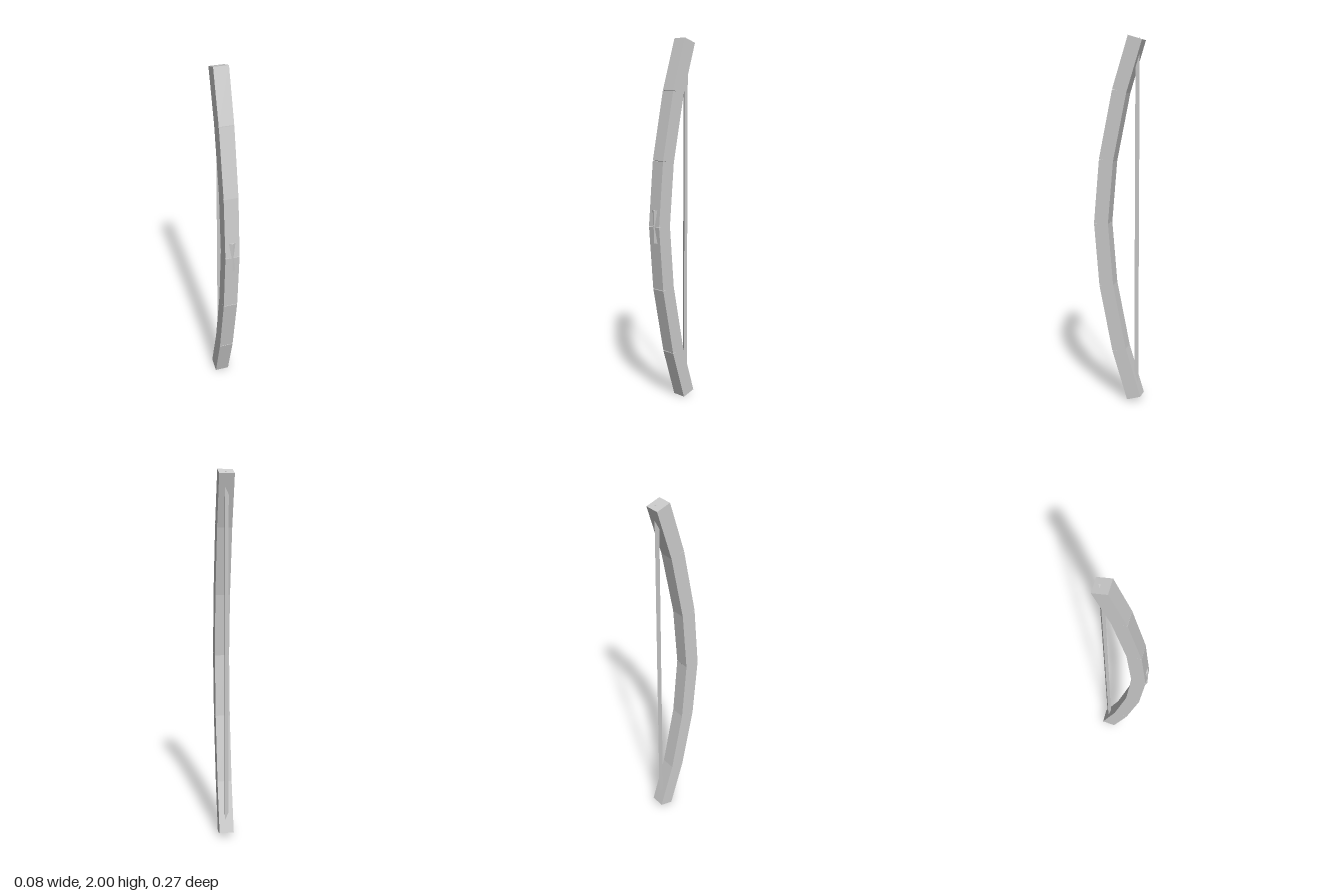
import * as THREE from 'three';

export function createModel() {
  const bow = new THREE.Group();
  bow.name = 'bow';
  const grey = new THREE.MeshStandardMaterial({ color: 0xcccccc });
  grey.name = 'light grey';
  grey.flatShading = true;

  const add = (name, geometry, x, y, z) => {
    const mesh = new THREE.Mesh(geometry, grey);
    mesh.name = name;
    mesh.position.set(x, y, z);
    bow.add(mesh);
    return mesh;
  };

  // Front edge of the upper limb as [z, y], from the grip to the tip
  const edge = [[0.131, 1], [0.101, 1.352], [0.026, 1.723], [-0.06, 2]];
  const thick = 0.08;
  const gap = 0.0016; // narrow wedge left open between segments on the front

  // Straight limb segments, mirrored above and below the grip
  for (const side of [1, -1]) {
    for (let i = 0; i < edge.length - 1; i++) {
      const [z0, y0] = edge[i];
      const [z1, y1] = edge[i + 1];
      const tilt = Math.atan2(z0 - z1, y1 - y0);
      const tipGap = i === edge.length - 2 ? 0 : gap;
      const length = Math.hypot(z1 - z0, y1 - y0) - gap - tipGap;
      const mid = gap + length / 2;
      const y = y0 + mid * Math.cos(tilt) - thick / 2 * Math.sin(tilt);
      const z = z0 - mid * Math.sin(tilt) - thick / 2 * Math.cos(tilt);
      const segment = add((side > 0 ? 'upper' : 'lower') + 'Limb' + (i + 1),
        new THREE.BoxGeometry(0.08, length, thick), 0, 1 + side * (y - 1), z);
      segment.rotation.x = -side * tilt;
    }
  }

  // Six-sided grip core, just breaking the surface front and back
  add('grip', new THREE.CylinderGeometry(0.042, 0.042, 0.18, 6), 0, 1, 0.092);

  // Three-sided string running between the tips
  add('string', new THREE.CylinderGeometry(0.0135, 0.0135, 1.972, 3, 1, false, -Math.PI / 2), 0, 1, -0.104);

  return bow;
}
